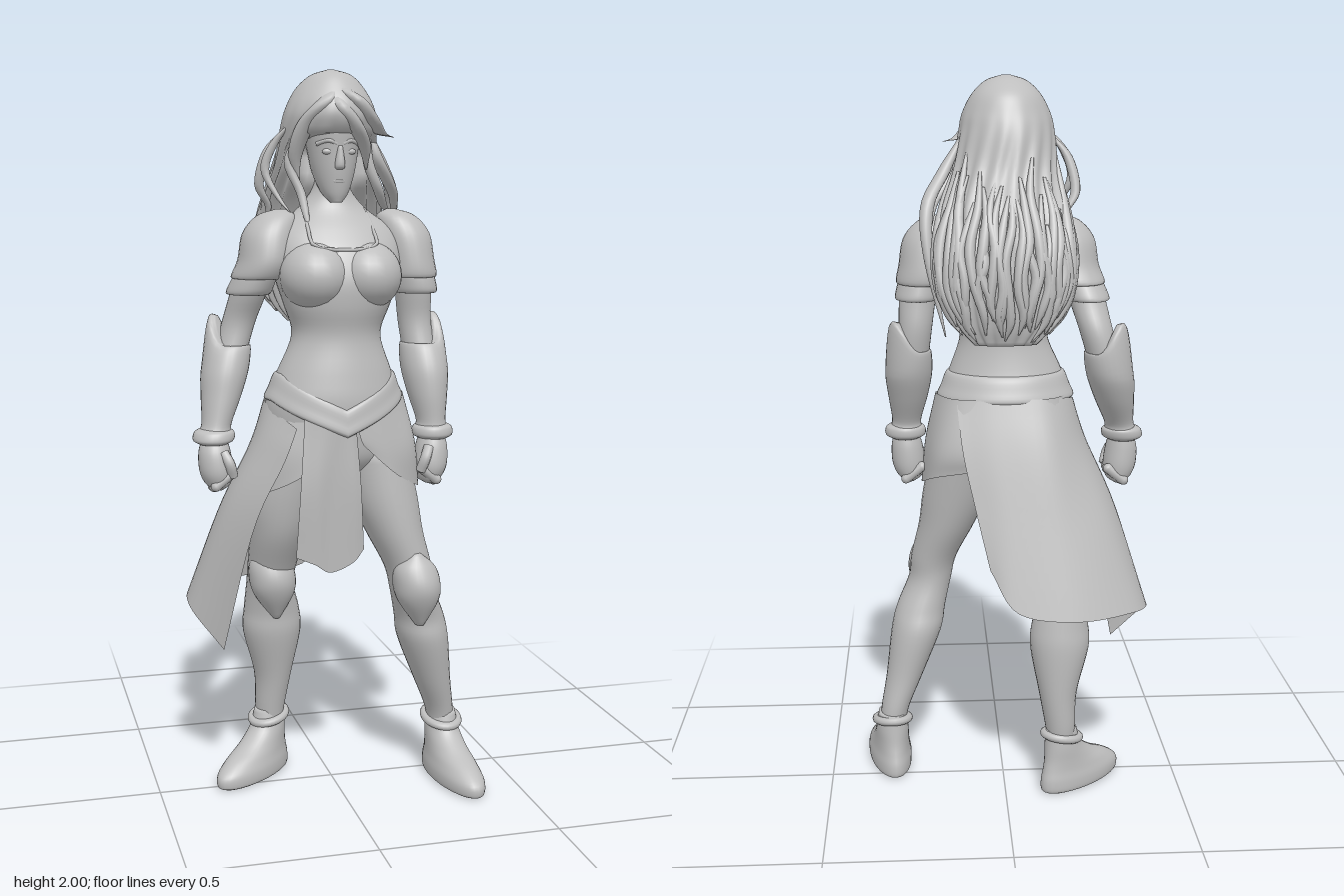
import * as THREE from 'three';

const grey = new THREE.MeshStandardMaterial({ color: 0xbebebe, side: THREE.DoubleSide });
grey.name = 'plainGrey';

const V = (x, y, z) => new THREE.Vector3(x, y, z);
const spline = (pts) => new THREE.CatmullRomCurve3(pts, false, 'catmullrom', 0.5);

// small seeded random source
let seed = 7;
const rnd = () => ((seed = (seed * 16807) % 2147483647) / 2147483647);

export function createModel() {
  const model = new THREE.Group();
  model.name = 'warrior';

  function add(name, geometry, parent = model) {
    const mesh = new THREE.Mesh(geometry, grey);
    mesh.name = name;
    parent.add(mesh);
    return mesh;
  }

  function surface(pos, idx) {
    const g = new THREE.BufferGeometry();
    g.setAttribute('position', new THREE.Float32BufferAttribute(pos, 3));
    g.setIndex(idx);
    g.computeVertexNormals();
    return g;
  }

  // Closed body through horizontal ellipses [cx, y, cz, rx, rz]; warp may move each vertex
  function loft(rows, { n = 28, sub = 5, warp } = {}) {
    if (rows[0][1] > rows[rows.length - 1][1]) rows = [...rows].reverse();
    const mid = spline(rows.map((r) => V(r[0], r[1], r[2])));
    const rad = spline(rows.map((r) => V(r[3], r[4], 0)));
    const m = (rows.length - 1) * sub, pos = [], idx = [];
    for (let j = 0; j <= m; j++) {
      const c = mid.getPoint(j / m), r = rad.getPoint(j / m);
      for (let i = 0; i < n; i++) {
        const a = (i / n) * Math.PI * 2;
        const p = V(c.x + r.x * Math.cos(a), c.y, c.z + r.y * Math.sin(a));
        if (warp) warp(p, a, c);
        pos.push(p.x, p.y, p.z);
        const k = j * n + i, k1 = j * n + ((i + 1) % n);
        if (j < m) idx.push(k, k + n, k1, k1, k + n, k1 + n);
      }
    }
    const base = pos.length / 3, lo = rows[0], hi = rows[rows.length - 1];
    pos.push(lo[0], lo[1], lo[2], hi[0], hi[1], hi[2]);
    for (let i = 0; i < n; i++) {
      const k = (i + 1) % n;
      idx.push(base, i, k, base + 1, m * n + k, m * n + i);
    }
    return surface(pos, idx);
  }

  // Cloth sheet through columns of points, each listed from top to bottom; s = -1 mirrors it
  function sheet(cols, s = 1, nu = 30, nv = 16) {
    const curves = cols.map((c) => spline(c.map((p) => V(p[0] * s, p[1], p[2]))));
    const pos = [], idx = [], w = nu + 1;
    for (let j = 0; j <= nv; j++) {
      const across = spline(curves.map((c) => c.getPoint(j / nv)));
      for (let i = 0; i <= nu; i++) {
        pos.push(...across.getPoint(i / nu).toArray());
        const k = j * w + i;
        if (i < nu && j < nv) {
          idx.push(...(s > 0 ? [k, k + w, k + 1, k + 1, k + w, k + w + 1]
                             : [k, k + 1, k + w, k + 1, k + w + 1, k + w]));
        }
      }
    }
    return surface(pos, idx);
  }

  function ball(name, x, y, z, rx, ry, rz, parent) {
    const m = add(name, new THREE.SphereGeometry(1, 24, 16), parent);
    m.position.set(x, y, z);
    m.scale.set(rx, ry, rz);
    return m;
  }

  function tube(name, pts, r, parent) {
    return add(name, new THREE.TubeGeometry(spline(pts.map((p) => V(...p))), 20, r, 8), parent);
  }

  // Torso and neck
  add('torso', loft([
    [-.005, .9, .045, .06, .07], [-.005, .96, .045, .165, .13], [-.005, 1.03, .045, .19, .148],
    [-.012, 1.12, .06, .185, .144], [-.01, 1.2, .07, .158, .125], [-.005, 1.3, .07, .122, .11],
    [-.003, 1.38, .072, .145, .125], [0, 1.45, .064, .17, .136], [0, 1.52, .046, .178, .13], [0, 1.58, .026, .163, .108],
    [-.003, 1.64, .014, .09, .07], [-.005, 1.7, .02, .048, .05], [-.008, 1.78, .03, .046, .05],
  ], { n: 40 }));
  for (const s of [1, -1]) ball('breastPlate', s * .072 - .004, 1.46, .115, .094, .092, .108);
  tube('neckline', [[-.085, 1.635, .045], [-.092, 1.58, .115], [-.085, 1.54, .166], [0, 1.53, .17],
    [.078, 1.54, .166], [.086, 1.58, .115], [.08, 1.635, .045]], .005);

  // Belt dipping to a point at the front
  const dip = (p, a) => {
    const f = Math.pow(Math.max(0, 1 - Math.abs(a - Math.PI / 2) / 1.3), 1.15);
    p.y -= .09 * f;
    p.z += .012 * f;
  };
  add('belt', loft([[-.01, 1.125, .058, .17, .12], [-.01, 1.13, .06, .192, .148], [-.01, 1.16, .063, .18, .143],
    [-.01, 1.195, .067, .166, .133], [-.01, 1.2, .067, .15, .11]], { n: 72, sub: 4, warp: dip }));

  // Hip plates, loincloth and long cape
  for (const s of [1, -1]) add('hipPlate', sheet([
    [[.02, 1.07, .2], [.03, 1.03, .2], [.04, 1.01, .197]],
    [[.1, 1.1, .18], [.12, 1, .187], [.13, .93, .187]],
    [[.175, 1.13, .1], [.204, 1, .125], [.214, .88, .12]],
    [[.182, 1.14, .02], [.212, 1, .03], [.226, .88, .05]],
    [[.135, 1.14, -.06], [.17, 1, -.075], [.185, .92, -.06]],
    [[.03, 1.14, -.08], [.05, 1, -.112], [.04, .95, -.11]],
  ], s));
  add('loincloth', sheet([
    [[-.12, 1.09, .185], [-.135, .9, .2], [-.145, .71, .185]],
    [[-.08, 1.07, .205], [-.09, .9, .21], [-.095, .69, .195]],
    [[-.035, 1.06, .212], [-.045, .9, .205], [-.05, .665, .19]],
    [[0, 1.07, .21], [.005, .9, .212], [.01, .69, .197]],
    [[.015, 1.09, .2], [.03, .9, .207], [.042, .725, .192]],
  ]));
  add('cape', sheet([
    [[.13, 1.13, -.065], [.115, 1, -.108], [.085, .86, -.145], [.045, .69, -.19]],
    [[.02, 1.14, -.082], [.01, 1, -.125], [-.02, .8, -.178], [-.03, .58, -.235]],
    [[-.11, 1.14, -.07], [-.13, 1, -.12], [-.165, .78, -.178], [-.2, .555, -.24]],
    [[-.185, 1.13, -.005], [-.215, 1, -.04], [-.285, .8, -.11], [-.365, .555, -.165]],
    [[-.195, 1.11, .08], [-.235, 1, .07], [-.315, .82, .025], [-.4, .53, -.05]],
    [[-.14, 1.06, .18], [-.175, .97, .18], [-.25, .78, .13], [-.315, .415, .02]],
  ]));

  // Legs: hip to ankle, with the left leg set forward
  const legs = {
    left: [[.105, .98, .05, .095, .125], [.13, .85, .07, .095, .115], [.158, .75, .085, .08, .103],
      [.195, .65, .1, .066, .085], [.208, .58, .105, .062, .083], [.235, .5, .083, .07, .08],
      [.25, .43, .073, .072, .088], [.285, .3, .055, .053, .067], [.315, .2, .035, .04, .052], [.323, .13, .03, .036, .042]],
    right: [[-.11, .98, .045, .095, .12], [-.137, .85, .03, .095, .11], [-.153, .75, .01, .08, .1],
      [-.163, .65, -.035, .069, .09], [-.165, .58, -.065, .066, .087], [-.157, .5, -.083, .079, .083],
      [-.155, .43, -.09, .083, .083], [-.15, .3, -.105, .054, .064], [-.157, .2, -.112, .043, .05], [-.16, .13, -.112, .035, .038]],
  };
  const footTurn = { left: .13, right: -.86 }, footLength = { left: 1.02, right: .93 };
  for (const side of ['left', 'right']) {
    const rows = legs[side], [kx, , kz] = rows[4], [ax, , az] = rows[9];
    add(side + 'Leg', loft(rows));
    // pointed knee plate
    add(side + 'KneePlate', loft([[kx - .012, .7, kz + .07, .012, .012], [kx - .01, .66, kz + .06, .055, .05],
      [kx - .004, .61, kz + .052, .066, .074], [kx, .56, kz + .055, .056, .058], [kx + .006, .49, kz + .05, .012, .02]]));
    // boot and ankle cuff
    const boot = new THREE.Group();
    boot.name = side + 'Boot';
    boot.position.set(ax, 0, az);
    boot.rotation.y = footTurn[side];
    boot.scale.z = footLength[side];
    model.add(boot);
    add('foot', loft([[0, .003, .085, .05, .145], [0, .012, .085, .06, .158], [0, .04, .083, .061, .156],
      [0, .07, .065, .055, .13], [0, .1, .035, .05, .093], [0, .14, .008, .046, .062], [0, .19, 0, .04, .05]], { n: 32 }), boot);
    const cuff = add('ankleCuff', new THREE.TorusGeometry(.047, .012, 10, 32), boot);
    cuff.rotation.x = Math.PI / 2 + .2;
    cuff.scale.y = 1.2;
    cuff.position.set(0, .165, .003);
  }

  // Arms: the right one hangs further out and back
  for (const s of [1, -1]) {
    const side = s > 0 ? 'left' : 'right';
    const pose = ([x, y, z, rx, rz]) => {
      const t = s > 0 ? 0 : THREE.MathUtils.clamp((1.5 - y) / .5, 0, 1);
      const shift = s > 0 ? 0 : .088 * t - .02;
      return [s * (x + shift), y, z - .07 * Math.sin(t * 2.35), rx, rz];
    };
    const limb = (name, rows, o) => add(side + name, loft(rows.map(pose), o));
    limb('UpperArm', [[.215, 1.56, .02, .05, .06], [.232, 1.42, .01, .05, .056], [.24, 1.33, 0, .046, .053], [.25, 1.24, .015, .045, .055]]);
    limb('Pauldron', [[.165, 1.635, .015, .012, .012], [.178, 1.617, .017, .052, .058], [.198, 1.57, .02, .072, .086],
      [.21, 1.5, .02, .073, .1], [.217, 1.455, .02, .074, .1], [.217, 1.45, .02, .06, .08]]);
    limb('ShoulderGuard', [[.222, 1.48, .02, .055, .08], [.229, 1.44, .018, .06, .088], [.234, 1.41, .015, .06, .087], [.234, 1.405, .015, .045, .06]]);
    // bracer rising to a point outside the elbow
    const peak = (p, a, c) => {
      const out = Math.max(0, s * Math.cos(a) * .85 - Math.sin(a) * .5);
      p.y += .085 * out * out * THREE.MathUtils.smoothstep(c.y, 1.2, 1.27);
    };
    limb('Bracer', [[.25, 1.265, .012, .04, .05], [.255, 1.262, .014, .058, .07], [.26, 1.2, .032, .065, .08],
      [.263, 1.13, .052, .055, .069], [.268, 1.06, .07, .041, .05], [.27, 1.035, .072, .045, .05]], { warp: peak });
    limb('WristCuff', [[.272, 1.045, .073, .04, .045], [.272, 1.035, .074, .055, .056], [.272, 1.015, .075, .056, .057], [.272, 1.005, .076, .04, .045]]);
    limb('Hand', [[.27, 1.02, .077, .034, .038], [.268, .98, .08, .044, .05], [.264, .93, .082, .046, .054], [.26, .895, .08, .034, .045], [.258, .88, .08, .012, .03]]);
    for (let i = 0; i < 4; i++) {
      const [x, y, z] = pose([.25, .9 + Math.abs(i - 1.3) * .006, .043 + i * .025, 0, 0]);
      const f = add(side + 'Finger', new THREE.CapsuleGeometry(.0145, .055, 4, 10));
      f.position.set(x, y, z);
      f.rotation.z = s * .9;
    }
    tube(side + 'Thumb', [[.25, .985, .115], [.235, .955, .13], [.225, .92, .12]].map((p) => pose([...p, 0, 0]).slice(0, 3)), .015);
  }

  // Head with simple face relief
  const head = new THREE.Group();
  head.name = 'head';
  model.add(head);
  add('face', loft([[-.008, 1.652, .085, .015, .018], [-.008, 1.68, .068, .037, .045], [-.008, 1.73, .052, .056, .07],
    [-.008, 1.79, .045, .068, .083], [-.008, 1.86, .035, .078, .1], [-.008, 1.93, .025, .07, .1], [-.008, 1.97, .03, .03, .05]]), head);
  add('nose', loft([[-.008, 1.738, .116, .01, .01], [-.008, 1.75, .124, .014, .014], [-.008, 1.8, .122, .007, .01]], { n: 12 }), head);
  ball('lips', -.008, 1.708, .108, .02, .008, .012, head);
  for (const s of [1, -1]) {
    ball('eyelid', -.008 + s * .028, 1.785, .112, .018, .009, .01, head);
    tube('brow', [[-.008 + s * .008, 1.805, .124], [-.008 + s * .03, 1.813, .12], [-.008 + s * .056, 1.805, .095]], .006, head);
  }

  // Hair: a crown and back mass, flattened behind the face and rippled into strands
  const hair = new THREE.Group();
  hair.name = 'hair';
  model.add(hair);
  const mass = [[-.01, 2, .035, .01, .01], [-.01, 1.985, .032, .055, .065], [-.01, 1.95, .022, .092, .108],
    [-.01, 1.9, .022, .118, .136], [-.01, 1.85, .008, .128, .142], [-.005, 1.75, -.042, .14, .118],
    [.002, 1.65, -.115, .162, .098], [.004, 1.55, -.165, .172, .08], [.004, 1.45, -.192, .16, .064],
    [.004, 1.37, -.2, .125, .048], [.004, 1.315, -.2, .08, .03]];
  add('hairMass', loft(mass, {
    n: 120, warp(p, a, c) {
      const open = THREE.MathUtils.smoothstep(c.y, 1.8, 1.86);
      p.z = Math.min(p.z, .02 + .2 * open);
      const k = .055 * (1 - THREE.MathUtils.smoothstep(c.y, 1.6, 1.95)) * Math.sin(a * 17 + Math.sin(c.y * 14) * 1.6);
      p.x += (p.x - c.x) * k;
      p.z += (p.z - c.z) * k;
    },
  }), hair);
  // tapered locks lying over the back mass
  const outline = spline(mass.map((r) => V(r[0], r[1], r[2])));
  const width = spline(mass.map((r) => V(r[3], r[4], 0)));
  for (let i = 0; i < 34; i++) {
    const a = Math.PI * (.97 + 1.06 * (i + rnd() * .6) / 34), rows = [];
    const t0 = .45 + rnd() * .2, t1 = .86 + rnd() * .13, turn = (rnd() - .5) * .3;
    for (let k = 0; k <= 5; k++) {
      const t = t0 + (t1 - t0) * k / 5, c = outline.getPoint(t), w = width.getPoint(t);
      const b = a + turn * k / 5 + .06 * Math.sin(k * 2 + i), q = 1 + .02 * k, r = [.004, .011, .014, .013, .011, .002][k];
      rows.push([c.x + w.x * q * Math.cos(b), c.y, c.z + w.y * q * Math.sin(b), r, r]);
    }
    add('backLock', loft(rows, { n: 8, sub: 4 }), hair);
  }
  // fringe and loose side locks, as [path, thickness]
  const locks = [
    [[[0, 1.965, .1], [-.05, 1.91, .128], [-.095, 1.85, .095], [-.115, 1.77, .06], [-.1, 1.7, .045]], .026],
    [[[-.02, 1.96, .105], [.03, 1.92, .133], [.075, 1.87, .115], [.115, 1.835, .075], [.16, 1.825, .05]], .026],
    [[[-.03, 1.95, .11], [-.01, 1.9, .14], [.03, 1.85, .132], [.065, 1.8, .1], [.08, 1.74, .065]], .025],
    [[[-.12, 1.86, .04], [-.16, 1.81, .015], [-.185, 1.74, .005], [-.155, 1.67, .02], [-.12, 1.62, .045]], .012],
    [[[-.1, 1.84, .06], [-.13, 1.76, .05], [-.1, 1.68, .06], [-.09, 1.62, .08], [-.085, 1.58, .1]], .013],
    [[[-.12, 1.85, -.02], [-.17, 1.79, -.03], [-.19, 1.7, -.05], [-.16, 1.64, -.07], [-.17, 1.58, -.1]], .013],
    [[[.1, 1.84, .03], [.12, 1.77, .03], [.16, 1.71, 0], [.19, 1.66, -.04], [.2, 1.58, -.1]], .018],
    [[[.09, 1.83, .05], [.09, 1.76, .05], [.12, 1.69, .04], [.15, 1.64, 0], [.19, 1.61, -.04]], .015],
    [[[.11, 1.84, -.02], [.16, 1.75, -.05], [.205, 1.66, -.11], [.2, 1.52, -.15], [.16, 1.33, -.16]], .018],
  ];
  for (const [path, r] of locks) {
    const taper = [.4, 1, 1, .7, .1];
    add('looseLock', loft(path.map((p, i) => [...p, r * taper[i], r * taper[i]]), { n: 12 }), hair);
  }
  return model;
}
